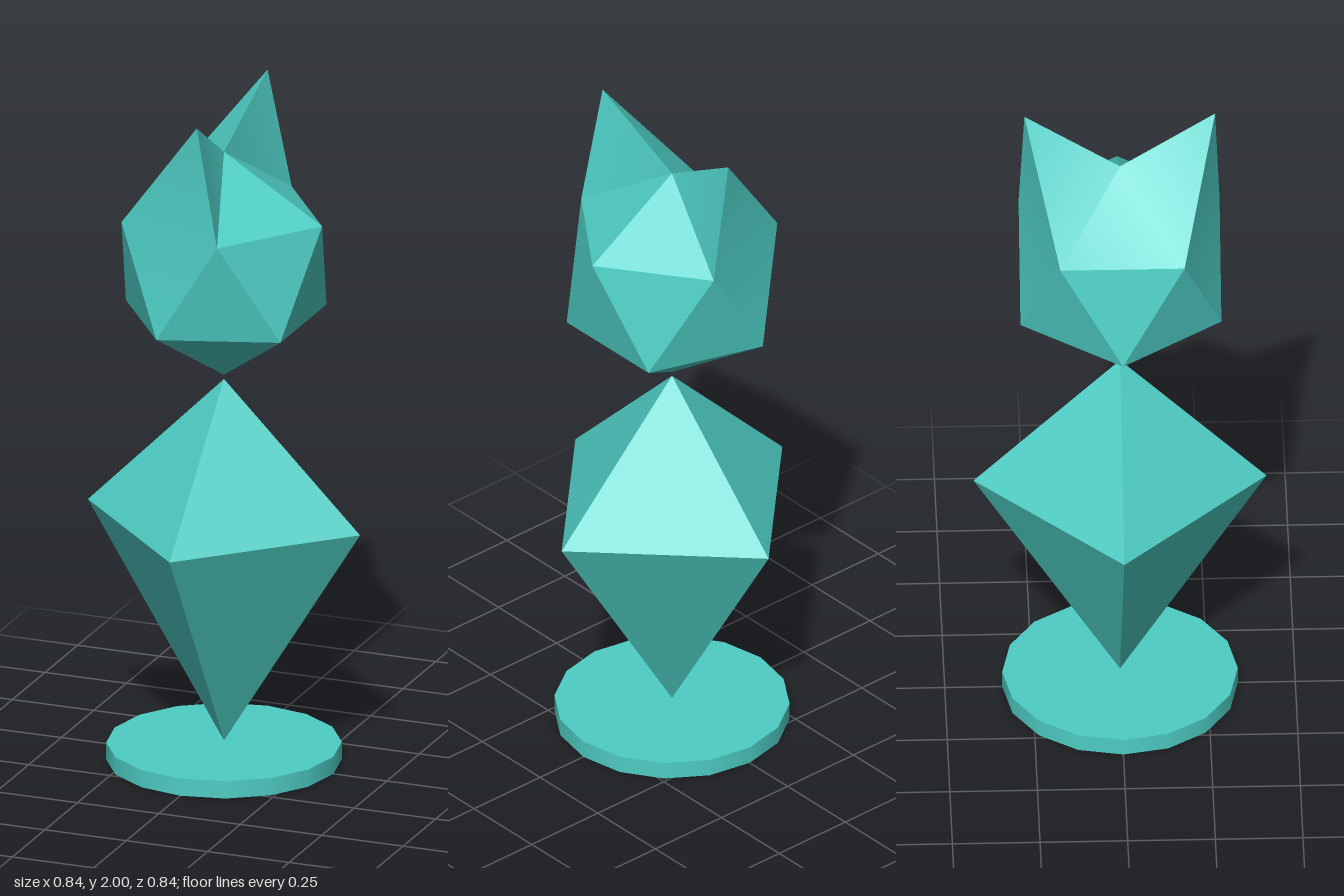
import * as THREE from 'three';
import { toCreasedNormals } from 'three/addons/utils/BufferGeometryUtils.js';

const TEAL = 0x4ecdc4;

function part(name, geometry, y = 0) {
  const mesh = new THREE.Mesh(geometry, new THREE.MeshStandardMaterial({ color: TEAL }));
  mesh.name = name;
  mesh.position.y = y;
  return mesh;
}

// Octahedron whose lower half is stretched to a long point
function bodyGeometry() {
  const geometry = new THREE.OctahedronGeometry(0.418, 0);
  const pos = geometry.attributes.position;
  for (let i = 0; i < pos.count; i++) {
    if (pos.getY(i) < -0.1) pos.setY(i, -0.675);
  }
  geometry.computeVertexNormals();
  return geometry;
}

// Upright icosahedron with two of its top faces pulled out into ears
function headGeometry() {
  const R = 0.337, ringR = R * 2 / Math.sqrt(5), ringY = R / Math.sqrt(5);
  const ring = (y, shift) => Array.from({ length: 5 }, (_, i) => {
    const a = (i + shift) * Math.PI * 2 / 5;
    return new THREE.Vector3(Math.cos(a) * ringR, y, Math.sin(a) * ringR);
  });
  const top = new THREE.Vector3(0, R, 0), bottom = new THREE.Vector3(0, -R, 0);
  const upper = ring(ringY, 0), lower = ring(-ringY, 0.5);
  const earTips = {
    1: new THREE.Vector3(0.025, 0.5, 0.272),
    3: new THREE.Vector3(0.025, 0.5, -0.272),
  };

  const points = [];
  for (let i = 0; i < 5; i++) {
    const j = (i + 1) % 5, tip = earTips[i];
    if (tip) points.push(tip, upper[j], upper[i], tip, top, upper[j], tip, upper[i], top);
    else points.push(top, upper[j], upper[i]);
    points.push(upper[i], upper[j], lower[i]);
    points.push(lower[j], lower[i], upper[j]);
    points.push(bottom, lower[i], lower[j]);
  }
  const geometry = new THREE.BufferGeometry().setFromPoints(points);
  // Ears blend into the neighbouring facets, all other edges stay sharp
  return toCreasedNormals(geometry, Math.PI / 6);
}

export function createModel() {
  const model = new THREE.Group();
  model.name = 'figurine';
  model.add(
    part('base', new THREE.CylinderGeometry(0.336, 0.336, 0.052, 16), 0.026),
    part('body', bodyGeometry(), 0.732),
    part('head', headGeometry(), 1.5),
  );
  return model;
}
